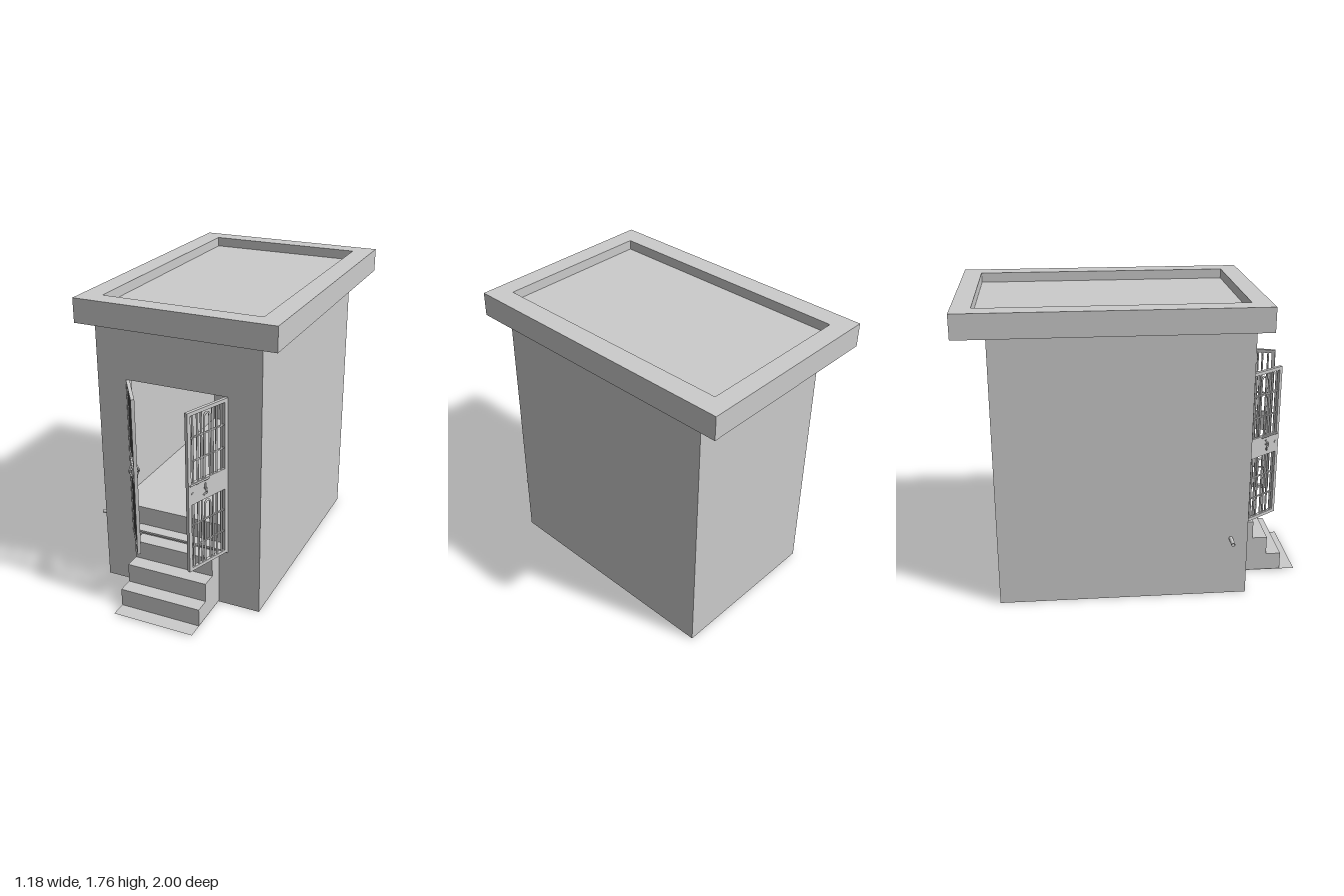
import * as THREE from 'three';

const grey = new THREE.MeshStandardMaterial({ color: 0xcccccc });
const thin = new THREE.MeshStandardMaterial({ color: 0xcccccc, side: THREE.DoubleSide });

function add(parent, name, geometry, material = grey) {
  const mesh = new THREE.Mesh(geometry, material);
  mesh.name = name;
  parent.add(mesh);
  return mesh;
}

// Box given by its lower and upper limits on each axis
function box(parent, name, x0, x1, y0, y1, z0, z1) {
  const mesh = add(parent, name, new THREE.BoxGeometry(x1 - x0, y1 - y0, z1 - z0));
  mesh.position.set((x0 + x1) / 2, (y0 + y1) / 2, (z0 + z1) / 2);
  return mesh;
}

const rect = (x0, x1, y0, y1) => [[x0, y0], [x1, y0], [x1, y1], [x0, y1]].map(p => new THREE.Vector2(...p));

// Flat plate with rectangular holes
function plate(outline, holes, depth) {
  const shape = new THREE.Shape(outline);
  holes.forEach(h => shape.holes.push(new THREE.Path(h)));
  return new THREE.ExtrudeGeometry(shape, { depth, bevelEnabled: false });
}

function rod(parent, name, a, b, r, sides = 8) {
  const from = new THREE.Vector3(...a), to = new THREE.Vector3(...b);
  const mesh = add(parent, name, new THREE.CylinderGeometry(r, r, from.distanceTo(to), sides));
  mesh.position.copy(from).add(to).multiplyScalar(0.5);
  mesh.quaternion.setFromUnitVectors(new THREE.Vector3(0, 1, 0), to.sub(from).normalize());
  return mesh;
}

// Barred door leaf: hinge at local x = 0, swung so that it points along (dx, dz)
function doorLeaf(name, hx, hz, dx, dz, side) {
  const leaf = new THREE.Group();
  leaf.name = name;
  const L = Math.hypot(dx, dz), t = 0.02, mid = L / 2;
  const windows = [[0.38, 0.77], [0.895, 1.285]];
  const frame = add(leaf, 'doorFrame',
    plate(rect(0, L, 0.36, 1.305), windows.map(([a, b]) => rect(0.025, L - 0.022, a, b)), t));
  frame.position.z = -t / 2;

  for (const [y0, y1] of windows) {
    // Upright bars either side of a central arched bar
    for (const k of [-0.105, -0.07, -0.042, 0.042, 0.07, 0.105])
      rod(leaf, 'uprightBar', [mid + k, y0, 0], [mid + k, y1, 0], 0.006);
    const arch = new THREE.CurvePath(), r = 0.02, top = y1 - 0.04;
    const v = (x, y) => new THREE.Vector3(mid + x, y, 0);
    arch.add(new THREE.LineCurve3(v(-r, y0), v(-r, top)));
    arch.add(new THREE.CubicBezierCurve3(v(-r, top), v(-r, top + 0.028), v(r, top + 0.028), v(r, top)));
    arch.add(new THREE.LineCurve3(v(r, top), v(r, y0)));
    add(leaf, 'archedBar', new THREE.TubeGeometry(arch, 60, 0.006, 8));
    // Cross rails
    for (const y of [y0 + 0.125, y0 + 0.26])
      box(leaf, 'crossRail', 0.02, L - 0.02, y - 0.004, y + 0.004, -0.004, 0.004);
  }

  // Bent handle, spindle and keyhole plate on both faces
  for (const s of [-1, 1]) {
    const hxp = mid + 0.03;
    const curve = new THREE.CatmullRomCurve3([[0.01, 0.8, 0.011], [-0.005, 0.82, 0.024],
      [0.008, 0.84, 0.026], [-0.006, 0.868, 0.012]].map(([x, y, z]) => new THREE.Vector3(hxp + x, y, s * z)));
    add(leaf, 'doorHandle', new THREE.TubeGeometry(curve, 16, 0.005, 8));
    rod(leaf, 'handleSpindle', [hxp, 0.84, 0], [hxp, 0.84, s * 0.026], 0.006);
    rod(leaf, 'keyhole', [L - 0.03, 0.835, 0], [L - 0.03, 0.835, s * 0.013], 0.008, 12);
  }
  // Bolt below the upper window
  rod(leaf, 'bolt', [L - 0.15, 0.888, side * 0.013], [L - 0.01, 0.888, side * 0.013], 0.005);

  leaf.position.set(hx, 0, hz);
  leaf.rotation.y = Math.atan2(-dz, dx);
  return leaf;
}

export function createModel() {
  const model = new THREE.Group();
  model.name = 'smallBuilding';
  const X0 = -0.51, X1 = 0.48, Z0 = -0.82, Z1 = 0.64, H = 1.625, W = 0.06;

  // Walls, the front one with the doorway
  const front = add(model, 'frontWall', plate(rect(X0, X1, 0, H), [rect(-0.33, 0.285, 0.36, 1.305)], W));
  front.position.z = Z1 - W;
  box(model, 'backWall', X0, X1, 0, H, Z0, Z0 + W);
  box(model, 'rightWall', X0, X0 + W, 0, H, Z0 + W, Z1 - W);
  box(model, 'leftWall', X1 - W, X1, 0, H, Z0 + W, Z1 - W);

  // Raised floor, hollow underneath
  box(model, 'floor', X0 + W, X1 - W, 0.14, 0.48, Z0 + W, Z1 - W);
  box(model, 'threshold', -0.31, 0.285, 0.352, 0.364, Z1 - W, Z1 + 0.01);

  // Roof slab with a raised rim
  const rim = add(model, 'roofRim',
    plate(rect(-0.59, 0.59, -0.72, 1), [rect(-0.47, 0.47, -0.61, 0.89)], 0.14));
  rim.rotation.x = -Math.PI / 2;
  rim.position.y = 1.622;
  box(model, 'roofSlab', -0.47, 0.47, 1.622, 1.705, -0.89, 0.61);

  // Steps and the flat landing before them
  const profile = [[0.64, 0.008], [0.91, 0.008], [0.91, 0.115], [0.82, 0.115], [0.82, 0.23],
    [0.73, 0.23], [0.73, 0.34], [0.64, 0.34]].map(p => new THREE.Vector2(...p));
  const steps = add(model, 'steps', plate(profile, [], 0.495));
  steps.rotation.y = -Math.PI / 2;
  steps.position.x = 0.228;
  // Profile runs along +z, extruded towards -x
  const landing = add(model, 'landing', new THREE.PlaneGeometry(0.495, 0.36), thin);
  landing.rotation.x = -Math.PI / 2;
  landing.position.set(-0.02, 0.006, 0.82);

  // Two open door leaves
  model.add(doorLeaf('rightDoor', -0.32, 0.64, 0.163, 0.235, 1));
  model.add(doorLeaf('leftDoor', 0.278, 0.64, -0.102, 0.28, -1));

  // Drain pipe through the side wall
  const pipe = new THREE.LatheGeometry([[0.008, 0], [0.008, 0.1], [0.012, 0.1], [0.012, 0]]
    .map(p => new THREE.Vector2(...p)), 16);
  const drain = add(model, 'drainPipe', pipe, thin);
  drain.rotation.z = Math.PI / 2;
  drain.position.set(-0.493, 0.364, 0.54);

  // Domed fixture on a plinth, with a sloping rail behind
  box(model, 'plinth', -0.105, 0.07, 0.48, 0.536, -0.3, -0.12);
  const dome = add(model, 'dome', new THREE.LatheGeometry([[0.062, 0], [0.05, 0.008], [0.046, 0.025],
    [0.038, 0.052], [0.022, 0.066], [0, 0.07]].map(p => new THREE.Vector2(...p)), 24));
  dome.position.set(-0.018, 0.536, -0.21);
  const rail = [[-0.3, 0.725], [-0.02, 0.988], [-0.02, 1.02], [-0.3, 0.757]].map(p => new THREE.Vector2(...p));
  add(model, 'slopingRail', plate(rail, [], 0.03)).position.z = Z0 + W;

  return model;
}
